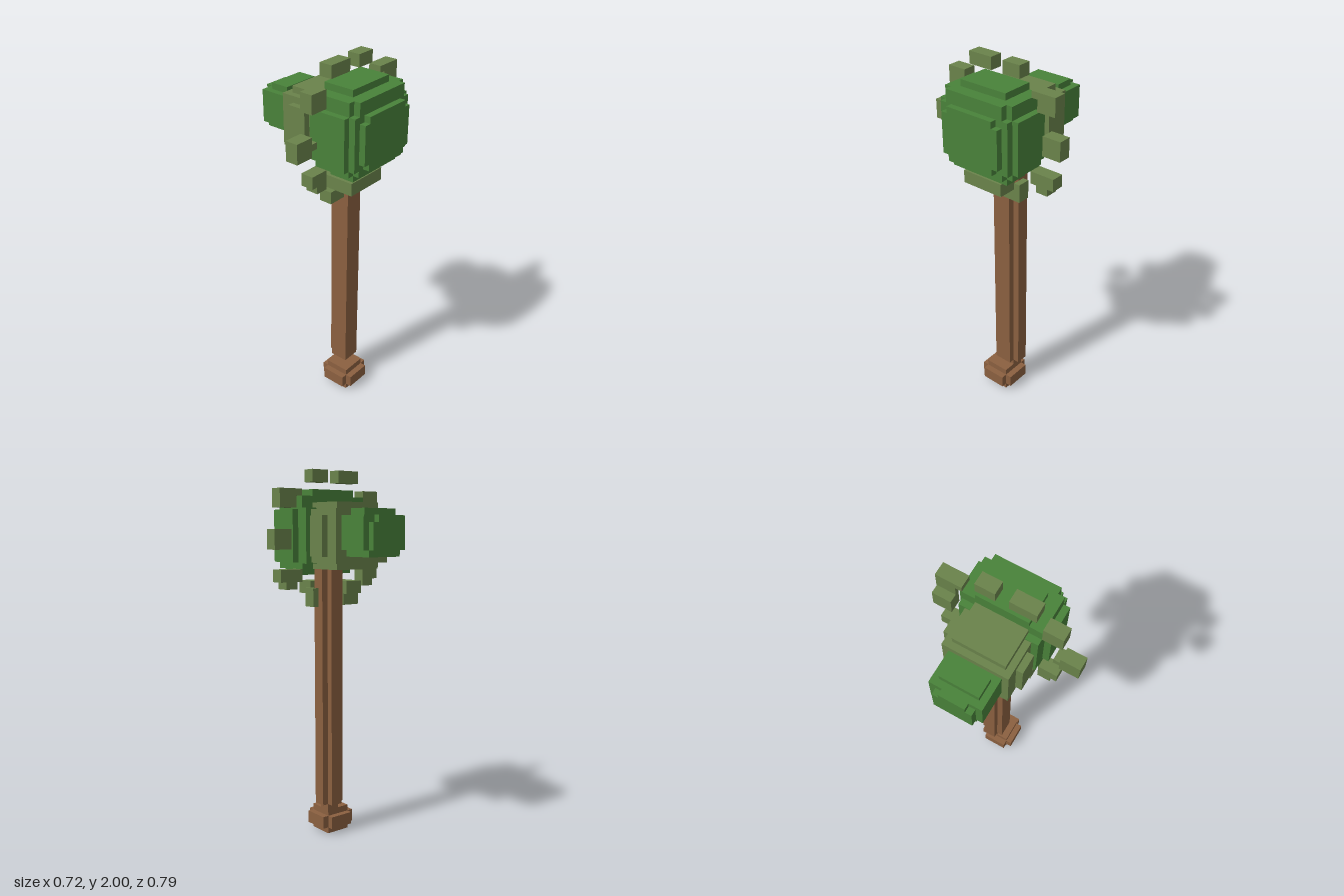
import * as THREE from 'three';

const mat = (name, color) => {
  const m = new THREE.MeshStandardMaterial({ color });
  m.name = name;
  return m;
};

export function createModel() {
  const root = new THREE.Group();
  root.name = 'hammer';
  const brown = mat('wood brown', 0x8b6040);
  const green = mat('leaf green', 0x49823a);
  const olive = mat('vine olive', 0x6a834b);

  // a named part made of blocks: [x0, x1, y0, y1, z0, z1]
  const part = (name, material, blocks) => {
    const g = new THREE.Group();
    g.name = name;
    for (const [x0, x1, y0, y1, z0, z1] of blocks) {
      const mesh = new THREE.Mesh(new THREE.BoxGeometry(x1 - x0, y1 - y0, z1 - z0), material);
      mesh.position.set((x0 + x1) / 2, (y0 + y1) / 2, (z0 + z1) / 2);
      mesh.name = name + 'Block';
      g.add(mesh);
    }
    root.add(g);
  };

  // stepped knob at the foot
  part('pommel', brown, [
    [0.05, 0.188, 0, 0.138, -0.086, 0.052],
    [0.016, 0.222, 0.035, 0.103, -0.086, 0.052],
    [0.05, 0.188, 0.035, 0.103, -0.121, 0.086],
    [0.05, 0.119, 0.138, 0.18, -0.086, -0.017],
  ]);

  // shaft with a raised strip on two sides
  part('handle', brown, [
    [0.05, 0.153, 0.172, 1.5, -0.086, 0.017],
    [0.016, 0.05, 0.172, 1.5, -0.086, -0.017],
    [0.05, 0.119, 0.172, 1.5, -0.121, -0.086],
  ]);

  // large striking end with stepped edges
  part('largeHead', green, [
    [0.084, 0.326, 1.483, 1.862, -0.19, 0.155],
    [0.084, 0.326, 1.517, 1.793, -0.224, 0.19],
    [0.084, 0.291, 1.483, 1.862, -0.224, 0.19],
    [0.326, 0.36, 1.517, 1.793, -0.155, 0.121],
    [0.326, 0.36, 1.552, 1.759, -0.19, 0.155],
    [0.119, 0.291, 1.517, 1.793, -0.259, 0.224],
    [0.084, 0.257, 1.862, 1.897, -0.155, 0.121],
    [0.153, 0.291, 1.448, 1.483, -0.19, 0.155],
    [0.05, 0.084, 1.512, 1.8, -0.224, 0.19],
  ]);

  // middle of the head
  part('headCollar', olive, [
    [-0.155, 0.084, 1.517, 1.793, -0.19, 0.155],
    [-0.121, 0.084, 1.483, 1.828, -0.155, 0.121],
    [-0.086, 0.016, 1.55, 1.759, -0.224, 0.19],
  ]);

  // small striking end
  part('smallHead', green, [
    [-0.328, -0.155, 1.586, 1.759, -0.155, 0.121],
    [-0.328, -0.155, 1.552, 1.759, -0.121, 0.086],
    [-0.362, -0.328, 1.586, 1.724, -0.121, 0.086],
    [-0.362, -0.328, 1.586, 1.759, -0.086, 0.052],
    [-0.293, -0.19, 1.759, 1.793, -0.121, 0.086],
  ]);

  // guard around the top of the shaft
  part('guard', olive, [
    [0.016, 0.257, 1.345, 1.414, 0.017, 0.121],
    [0.153, 0.257, 1.345, 1.414, -0.121, 0.017],
  ]);

  // broken ring around the large end: [z0, z1, y0, y1]
  const ring = [
    [0.017, 0.155, 1.935, 2], [-0.155, -0.052, 1.935, 2],
    [0.19, 0.293, 1.8, 1.897],
    [-0.362, -0.224, 1.862, 1.897], [-0.362, -0.259, 1.8, 1.862],
    [0.293, 0.397, 1.586, 1.69], [0.259, 0.293, 1.621, 1.655],
    [-0.397, -0.293, 1.586, 1.69],
    [0.19, 0.293, 1.417, 1.483], [0.19, 0.259, 1.379, 1.417],
    [-0.362, -0.224, 1.417, 1.483], [-0.328, -0.259, 1.379, 1.417],
    [0.052, 0.155, 1.279, 1.345],
    [-0.155, -0.052, 1.279, 1.31], [-0.155, -0.121, 1.31, 1.379],
    [-0.121, -0.052, 1.31, 1.345],
  ];
  part('vineRing', olive, ring.map(([z0, z1, y0, y1]) => [0.084, 0.155, y0, y1, z0, z1]));

  return root;
}
